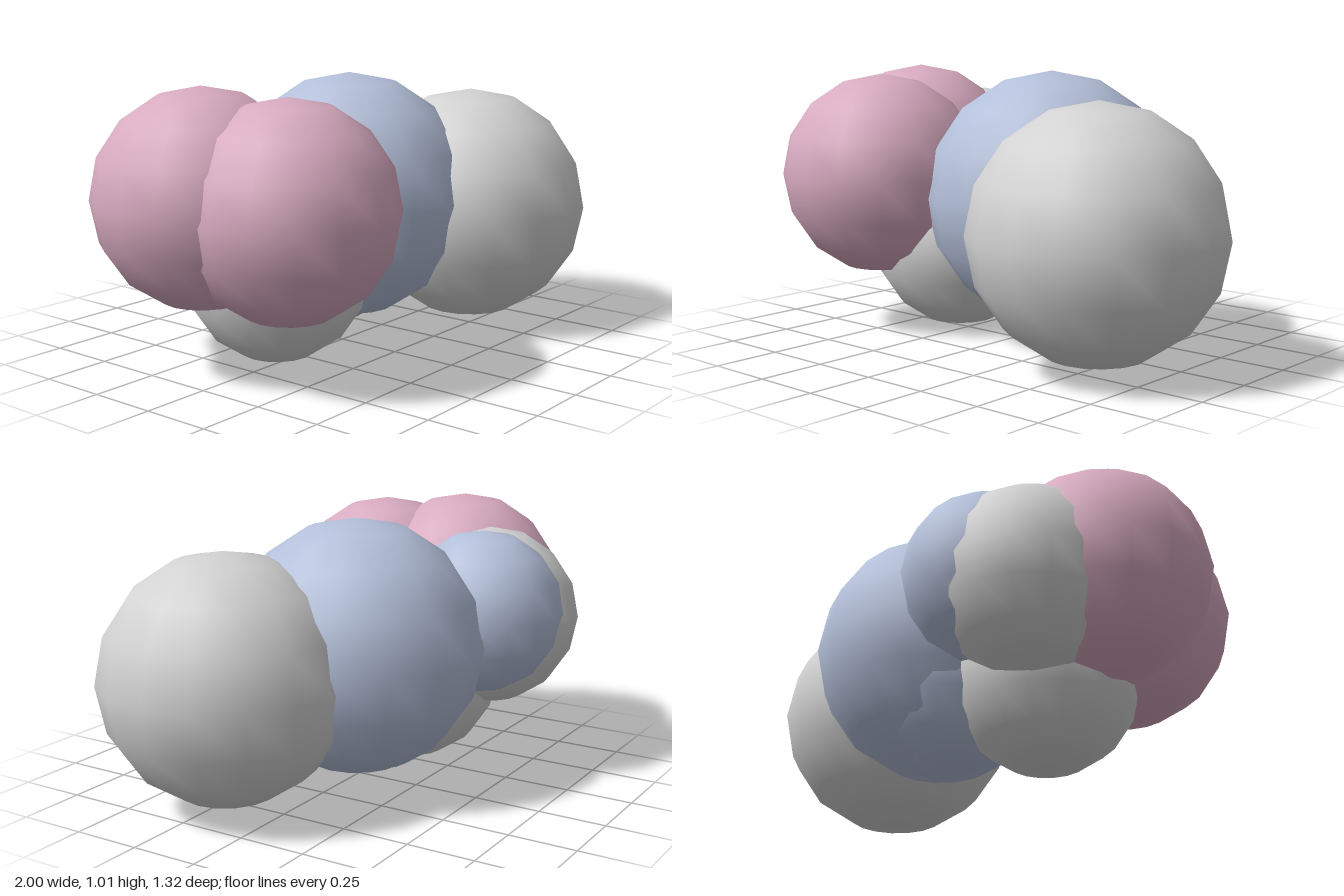
import * as THREE from 'three';

export function createModel() {
  const group = new THREE.Group();
  group.name = 'sphereCluster';

  const material = (name, color) => {
    const m = new THREE.MeshStandardMaterial({ color });
    m.name = name;
    return m;
  };
  const grey = material('light grey', 0xd2d2d2);
  const pink = material('dusty pink', 0xd8abc0);
  const blue = material('pale blue', 0xb4c0da);

  // Overlapping balls: name, material, radius, centre
  const balls = [
    ['leftGreyBall', grey, 0.45, [0.547, 0.48, 0.205]],
    ['centreBlueBall', blue, 0.465, [0.12, 0.545, -0.063]],
    ['innerBlueBall', blue, 0.34, [0.03, 0.405, -0.09]],
    ['frontPinkBall', pink, 0.385, [-0.52, 0.605, 0.19]],
    ['sidePinkBall', pink, 0.385, [-0.615, 0.63, -0.115]],
    ['backGreyBall', grey, 0.34, [-0.45, 0.58, -0.315]],
    ['backBlueBall', blue, 0.305, [-0.305, 0.625, -0.355]],
    ['bottomGreyBall', grey, 0.34, [-0.325, 0.343, -0.04]],
  ];

  for (const [name, mat, radius, centre] of balls) {
    const ball = new THREE.Mesh(new THREE.SphereGeometry(radius, 16, 8), mat);
    ball.name = name;
    ball.position.set(...centre);
    group.add(ball);
  }
  return group;
}
